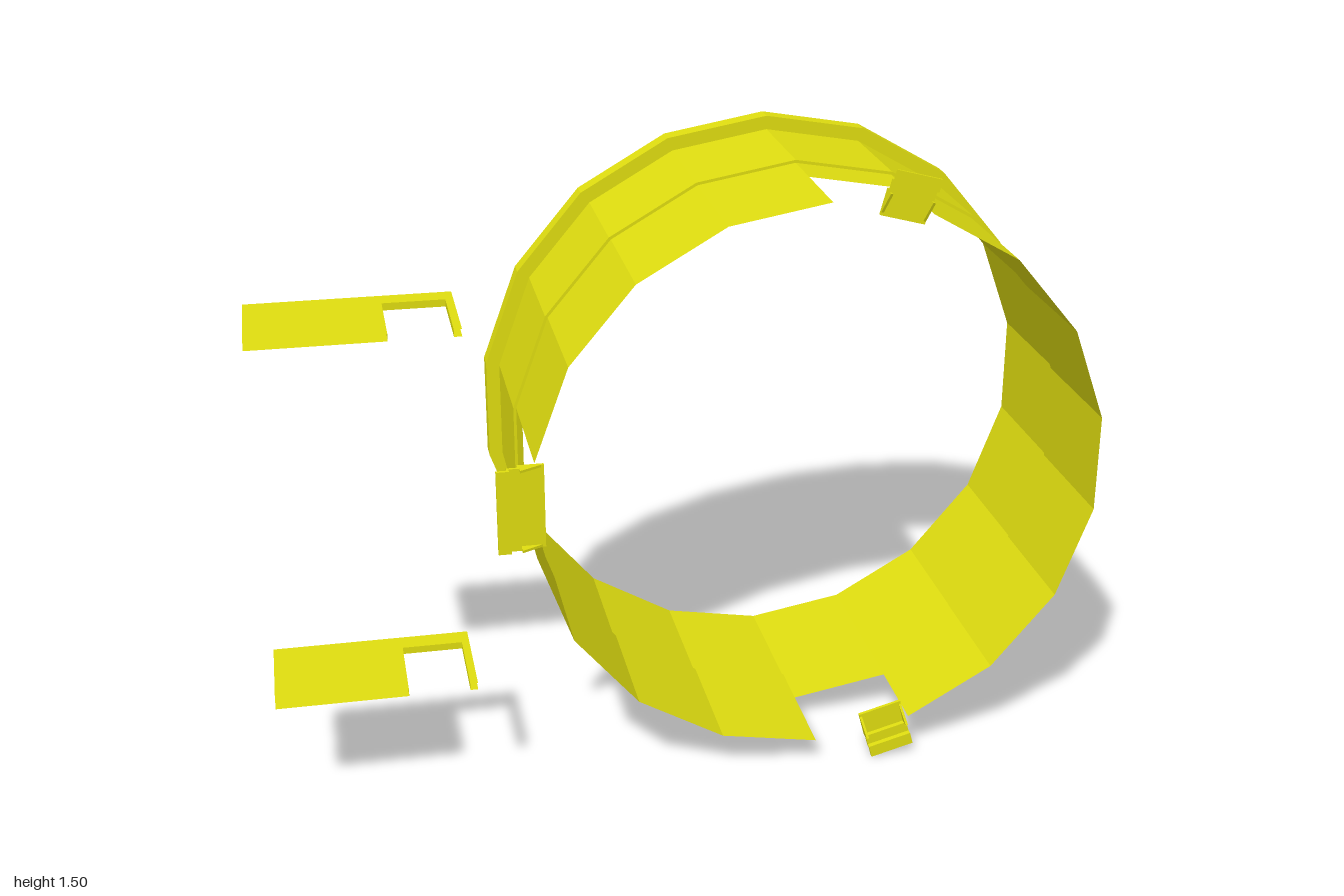
import * as THREE from 'three';

const CX = 0.285, CY = 0.7485, SIDES = 18, FRONT = 0.333;
const NOTCHED = [0, 8, 13]; // facets cut away at the front edge

export function createModel() {
  const group = new THREE.Group();
  const yellow = new THREE.MeshStandardMaterial({ color: 0xe0de10, side: THREE.DoubleSide, flatShading: true });
  yellow.name = 'yellow';

  const add = (name, geometry, parent = group) => {
    const mesh = new THREE.Mesh(geometry, yellow);
    mesh.name = name;
    parent.add(mesh);
    return mesh;
  };

  // Faceted ring swept from a profile of [radius, z], listed front to back for outward faces
  const ring = (name, profile, skip = []) => {
    const pos = [];
    const at = ([r, z], i) => {
      const a = (i / SIDES) * Math.PI * 2;
      return [CX + r * Math.sin(a), CY + r * Math.cos(a), z];
    };
    for (let i = 0; i < SIDES; i++) {
      if (skip.includes(i)) continue;
      for (let k = 0; k + 1 < profile.length; k++) {
        const a = at(profile[k], i), b = at(profile[k], i + 1);
        const c = at(profile[k + 1], i + 1), d = at(profile[k + 1], i);
        pos.push(...a, ...b, ...c, ...a, ...c, ...d);
      }
    }
    const g = new THREE.BufferGeometry();
    g.setAttribute('position', new THREE.Float32BufferAttribute(pos, 3));
    g.computeVertexNormals();
    add(name, g);
  };

  // Body: notched front edge, narrow front band, step, wider rear band
  ring('frontEdge', [[0.683, FRONT], [0.683, 0.125]], NOTCHED);
  ring('frontBand', [[0.683, 0.125], [0.683, 0.003]]);
  ring('rearBand', [[0.683, 0.003], [0.69, 0.003], [0.69, -0.287]]);
  ring('rearRim', [[0.69, -0.287], [0.7235, -0.287], [0.7235, -0.333], [0.69, -0.333], [0.69, -0.287]]);

  // Extrude a (radius, z) outline along the tangent, centred on the clip
  const extrude = (points, width, offset) => {
    const shape = new THREE.Shape(points.map(([r, z]) => new THREE.Vector2(r, z)));
    const g = new THREE.ExtrudeGeometry(shape, { depth: width, bevelEnabled: false });
    g.translate(0, 0, offset - width / 2);
    // shape x -> radial (+y), shape y -> z, depth -> tangent (+x)
    g.applyMatrix4(new THREE.Matrix4().makeBasis(
      new THREE.Vector3(0, 1, 0), new THREE.Vector3(0, 0, 1), new THREE.Vector3(1, 0, 0)));
    return g;
  };

  // Stepped clips with small end gussets
  const stair = [
    [0.648, 0.3], [0.71, 0.3], [0.71, 0.313], [0.735, 0.313], [0.735, 0.325], [0.76, 0.325],
    [0.76, 0.333], [0.73, 0.333], [0.73, 0.32], [0.705, 0.32], [0.705, 0.308], [0.648, 0.308],
  ];
  const gusset = [[0.655, 0.308], [0.705, 0.308], [0.705, 0.333]];
  const clip = (name, degrees, width) => {
    const g = new THREE.Group();
    g.name = name;
    g.position.set(CX, CY, 0);
    g.rotation.z = -THREE.MathUtils.degToRad(degrees);
    add('clipSteps', extrude(stair, width, 0), g);
    for (const s of [-1, 1]) add('clipGusset', extrude(gusset, 0.006, s * (width / 2 - 0.003)), g);
    group.add(g);
  };
  clip('topClip', 15, 0.108);
  clip('bottomClip', 165, 0.108);
  clip('sideClip', 270, 0.205);

  // Loose hooked plates: two sheets joined by walls only around the notch
  const outline = [
    [-1, 0.08], [-0.535, 0.08], [-0.535, FRONT], [-0.553, FRONT],
    [-0.553, 0.132], [-0.695, 0.132], [-0.695, FRONT], [-1, FRONT],
  ];
  const sheet = new THREE.ShapeGeometry(new THREE.Shape(outline.map(([x, z]) => new THREE.Vector2(x, -z))));
  sheet.rotateX(-Math.PI / 2);
  const under = sheet.clone();
  under.setIndex(Array.from(sheet.index.array).reverse());
  under.computeVertexNormals();

  const plate = (name, y) => {
    const g = new THREE.Group();
    g.name = name;
    g.position.y = y;
    add('plateTop', sheet, g).position.y = 0.0085;
    add('plateUnderside', under, g).position.y = -0.0085;
    const depth = FRONT - 0.132;
    const back = add('notchBack', new THREE.PlaneGeometry(0.142, 0.017), g);
    back.position.set(-0.624, 0, 0.132);
    for (const [x, turn] of [[-0.695, 1], [-0.553, -1]]) {
      const wall = add('notchSide', new THREE.PlaneGeometry(depth, 0.017), g);
      wall.position.set(x, 0, 0.132 + depth / 2);
      wall.rotation.y = (turn * Math.PI) / 2;
    }
    group.add(g);
  };
  plate('upperPlate', 1.188);
  plate('lowerPlate', 0.312);

  return group;
}
